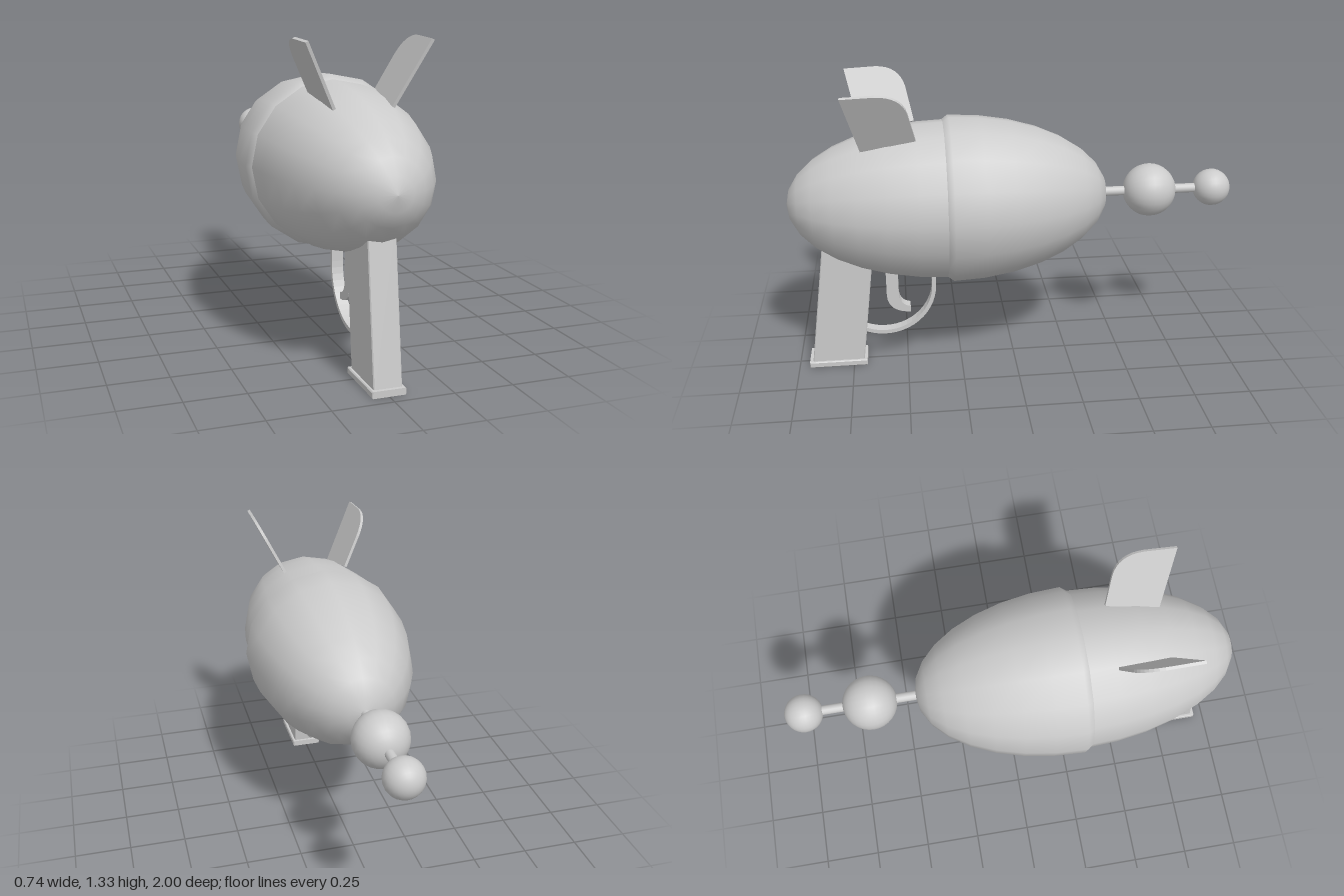
import * as THREE from 'three';

const mat = new THREE.MeshStandardMaterial({ color: 0xcccccc });
const matDouble = new THREE.MeshStandardMaterial({ color: 0xcccccc, side: THREE.DoubleSide });
const AXIS_Y = 0.788;

function add(parent, name, geometry, material = mat) {
  const mesh = new THREE.Mesh(geometry, material);
  mesh.name = name;
  parent.add(mesh);
  return mesh;
}

// Side profile drawn in (z, y), given a width along x
function sidePlate(shape, width, bevel = 0) {
  const depth = width - 2 * bevel;
  const geo = new THREE.ExtrudeGeometry(shape, {
    depth, curveSegments: 8, bevelEnabled: bevel > 0,
    bevelThickness: bevel, bevelSize: bevel, bevelOffset: -bevel, bevelSegments: 1,
  });
  return geo.translate(0, 0, -depth / 2).rotateY(-Math.PI / 2);
}

// Quarter ellipse of (radius, z) points running between angles a and b
function ellipsePoints(radius, centre, length, a, b, steps = 8) {
  return Array.from({ length: steps + 1 }, (_, i) => {
    const t = a + (b - a) * i / steps;
    return new THREE.Vector2(Math.max(0, radius * Math.cos(t)), centre + length * Math.sin(t));
  });
}

function shell(points) {
  return new THREE.LatheGeometry(points, 16).rotateX(Math.PI / 2).translate(0, AXIS_Y, 0);
}

function polygon(points) {
  return new THREE.Shape(points.map(([z, y]) => new THREE.Vector2(z, y)));
}

export function createModel() {
  const model = new THREE.Group();
  model.name = 'rayBlaster';

  // Two-part hull, the barrel half overlapping the other with a small lip
  const barrelPoints = ellipsePoints(0.372, 0.28, 0.705, -Math.PI / 2, 0);
  barrelPoints.push(new THREE.Vector2(0.35, 0.31));
  add(model, 'barrelShell', shell(barrelPoints), matDouble);
  add(model, 'gripShell', shell(ellipsePoints(0.353, 0.29, 0.71, 0, Math.PI / 2)), matDouble);

  // Emitter rod and balls
  add(model, 'emitterRod', new THREE.CylinderGeometry(0.021, 0.021, 0.56, 16).rotateX(Math.PI / 2))
    .position.set(0, AXIS_Y, -0.64);
  for (const [name, z, r] of [['largeBall', -0.625, 0.12], ['smallBall', -0.916, 0.084]]) {
    add(model, name, new THREE.SphereGeometry(r, 24, 16).rotateX(Math.PI / 2)).position.set(0, AXIS_Y, z);
  }

  // Slanted grip with its base plate
  const grip = polygon([[0.938, 0.02], [0.852, 0.65], [0.625, 0.65], [0.702, 0.02]]);
  add(model, 'grip', sidePlate(grip, 0.118, 0.004));
  const base = polygon([[0.952, 0], [0.952, 0.028], [0.688, 0.028], [0.688, 0]]);
  add(model, 'gripBase', sidePlate(base, 0.142, 0.004));

  // Hooked trigger
  const trigger = new THREE.Shape();
  trigger.moveTo(0.585, 0.55);
  trigger.lineTo(0.585, 0.33);
  trigger.quadraticCurveTo(0.58, 0.245, 0.478, 0.243);
  trigger.lineTo(0.478, 0.272);
  trigger.quadraticCurveTo(0.53, 0.28, 0.53, 0.34);
  trigger.lineTo(0.53, 0.55);
  add(model, 'trigger', sidePlate(trigger, 0.05));

  // Curved trigger guard running from the grip up into the hull
  const guard = new THREE.Shape();
  const from = -1.17, to = -Math.PI;
  guard.absarc(0.598, 0.375, 0.24, from, to, true);
  guard.lineTo(0.358, 0.48);
  guard.lineTo(0.376, 0.48);
  guard.lineTo(0.376, 0.375);
  guard.absarc(0.598, 0.375, 0.222, to, from, false);
  add(model, 'triggerGuard', sidePlate(guard, 0.05));

  // Pair of fins leaning outward
  const fin = new THREE.Shape();
  fin.moveTo(0.663, 0);
  fin.lineTo(0.729, 0.295);
  fin.lineTo(0.59, 0.302);
  fin.bezierCurveTo(0.52, 0.302, 0.475, 0.27, 0.459, 0.205);
  fin.lineTo(0.428, 0.052);
  for (const [name, side] of [['leftFin', 1], ['rightFin', -1]]) {
    const mesh = add(model, name, sidePlate(fin, 0.013));
    mesh.position.set(side * 0.122, 1.061, 0);
    mesh.rotation.z = -side * 0.465;
  }

  return model;
}
